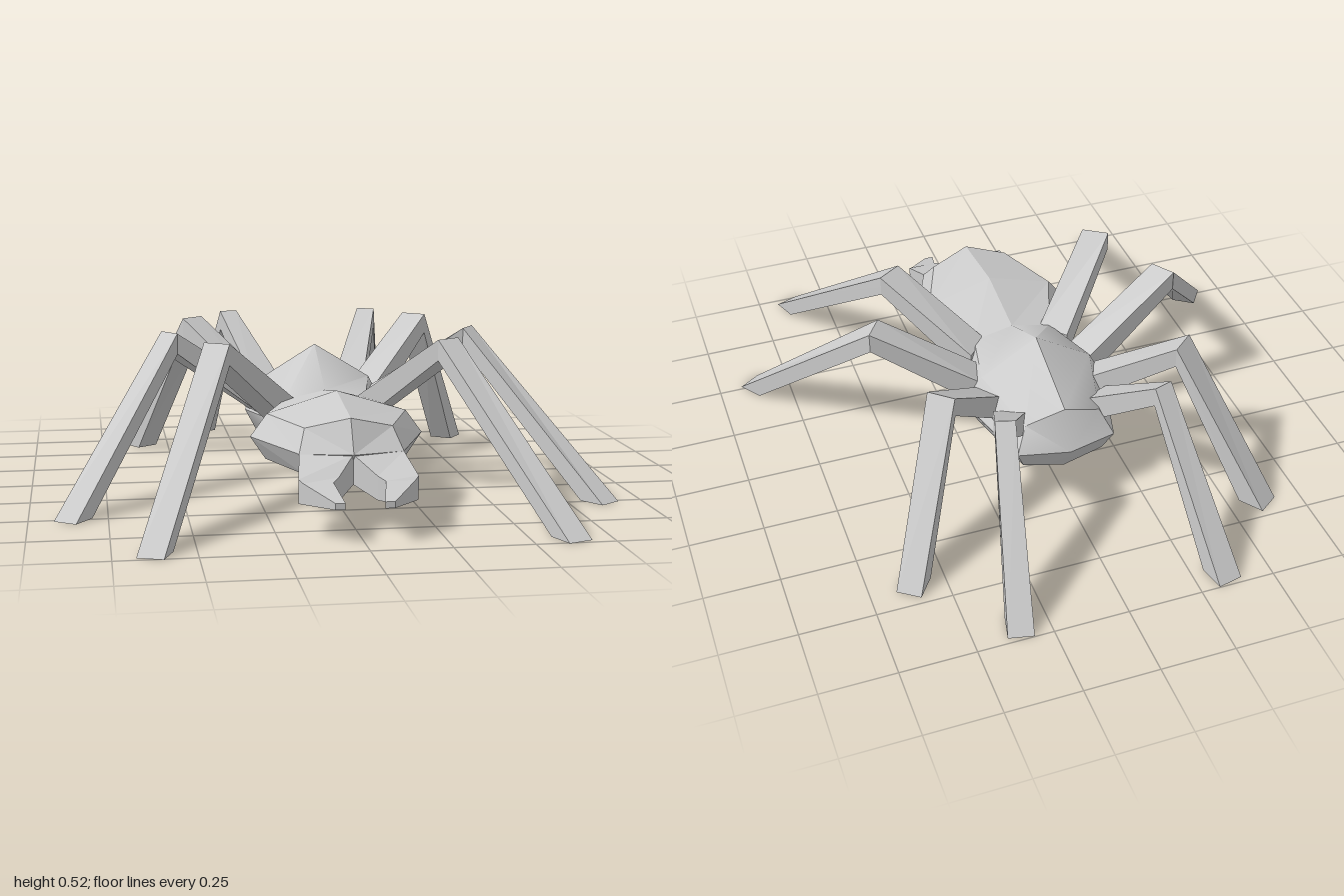
import * as THREE from 'three';
import { toCreasedNormals } from 'three/addons/utils/BufferGeometryUtils.js';

const V = (x, y, z) => new THREE.Vector3(x, y, z);
const material = new THREE.MeshStandardMaterial({ color: 0xcccccc });
const centre = (ring) => ring.reduce((sum, p) => sum.add(p), V(0, 0, 0)).divideScalar(ring.length);

// Skin a list of rings (counter-clockwise seen from the last one), with capped ends
function loft(name, rings, crease = 0.02, startTip, endTip) {
  const triangles = [];
  const n = rings[0].length;
  const first = rings[0], last = rings[rings.length - 1];
  const start = startTip || centre(first), end = endTip || centre(last);
  for (let i = 0; i < n; i++) {
    const j = (i + 1) % n;
    for (let k = 0; k < rings.length - 1; k++) {
      const [a, b, c, d] = [rings[k][i], rings[k][j], rings[k + 1][j], rings[k + 1][i]];
      triangles.push(a, b, c, a, c, d);
    }
    triangles.push(first[j], first[i], start, last[i], last[j], end);
  }
  const geometry = new THREE.BufferGeometry().setFromPoints(triangles);
  const mesh = new THREE.Mesh(toCreasedNormals(geometry, crease), material);
  mesh.name = name;
  return mesh;
}

// Eight-sided body ring from its left half: top, shoulder, rim, lower edge, keel
function bodyRing(half) {
  const left = half.map((p) => V(...p));
  const right = left.slice(1, 4).map((p) => V(-p.x, p.y, p.z));
  return [left[0], ...right, left[4], left[3], left[2], left[1]];
}

// Leg ring: a rectangle spanned by a sideways vector and an upward (or outward) vector
function legRing(c, side, up) {
  return [[1, 1], [-1, 1], [-1, -1], [1, -1]].map(([u, v]) =>
    c.clone().addScaledVector(side, u).addScaledVector(up, v));
}

function leg(name, s, hip, knee, foot, kneeWidth) {
  const [h, k, f] = [hip, knee, foot].map(([x, y, z]) => V(s * x, y, z));
  const flat = (a, b) => b.clone().sub(a).setY(0).normalize();
  const thigh = flat(h, k), shin = flat(k, f);
  const across = (dir) => V(0, 1, 0).cross(dir);
  const bend = thigh.clone().add(shin).normalize();
  return loft(name, [
    legRing(h, across(thigh).multiplyScalar(0.055), V(0, 0.05, 0)),
    legRing(k, across(bend).multiplyScalar(kneeWidth / 2), V(0, 0.035, 0)),
    legRing(f, across(shin).multiplyScalar(0.042), shin.clone().multiplyScalar(0.045)),
  ]);
}

// Jaw sections: inner x, inner z, outer x, outer z, top y, bottom y
const jawSections = [
  [0, 0.70, 0.165, 0.67, 0.225, 0.13],
  [0.06, 0.79, 0.185, 0.80, 0.175, 0.10],
  [0.08, 0.815, 0.172, 0.815, 0.165, 0.10],
  [0.06, 0.915, 0.09, 0.915, 0.125, 0.105],
];

function jaw(name, s) {
  return loft(name, jawSections.map(([xi, zi, xo, zo, top, bottom]) => {
    const ring = [V(s * xo, top, zo), V(s * xi, top, zi), V(s * xi, bottom, zi), V(s * xo, bottom, zo)];
    return s > 0 ? ring : ring.reverse();
  }));
}

export function createModel() {
  const group = new THREE.Group();

  // Both halves of the body share the waist
  const waist = [[0, 0.33, 0.12], [0.14, 0.3, 0.12], [0.17, 0.225, 0.12], [0.14, 0.15, 0.12], [0, 0.115, 0.12]];
  const rearBody = [
    [[0, 0.36, -0.41], [0.13, 0.31, -0.39], [0.17, 0.225, -0.43], [0.14, 0.15, -0.4], [0, 0.12, -0.41]],
    [[0, 0.455, -0.13], [0.195, 0.335, -0.13], [0.25, 0.225, -0.13], [0.21, 0.15, -0.13], [0, 0.07, -0.13]],
    waist,
  ];
  const frontBody = [
    waist,
    [[0, 0.37, 0.37], [0.23, 0.3, 0.37], [0.285, 0.225, 0.37], [0.235, 0.15, 0.37], [0, 0.07, 0.37]],
    [[0, 0.33, 0.65], [0.14, 0.295, 0.61], [0.165, 0.225, 0.67], [0.14, 0.15, 0.63], [0, 0.12, 0.65]],
  ];
  group.add(loft('rearBody', rearBody.map(bodyRing), 0.75, V(0, 0.225, -0.47)));
  group.add(loft('frontBody', frontBody.map(bodyRing), 0.02, undefined, V(0, 0.225, 0.71)));

  // Four pairs of legs, front to back: hip, knee, foot, knee width
  const legs = [
    [[0.14, 0.25, 0.08], [0.385, 0.49, 0.31], [0.625, 0, 0.95], 0.095],
    [[0.18, 0.25, -0.06], [0.522, 0.49, 0.015], [0.86, 0, 0.5], 0.09],
    [[0.18, 0.25, -0.17], [0.415, 0.49, -0.4], [0.605, 0, -0.665], 0.095],
    [[0.15, 0.25, -0.29], [0.265, 0.49, -0.585], [0.345, 0, -0.945], 0.065],
  ];
  for (const [side, s] of [['left', 1], ['right', -1]]) {
    group.add(jaw(side + 'Jaw', s));
    legs.forEach((spec, i) => group.add(leg(`${side}Leg${i + 1}`, s, ...spec)));
  }
  return group;
}
